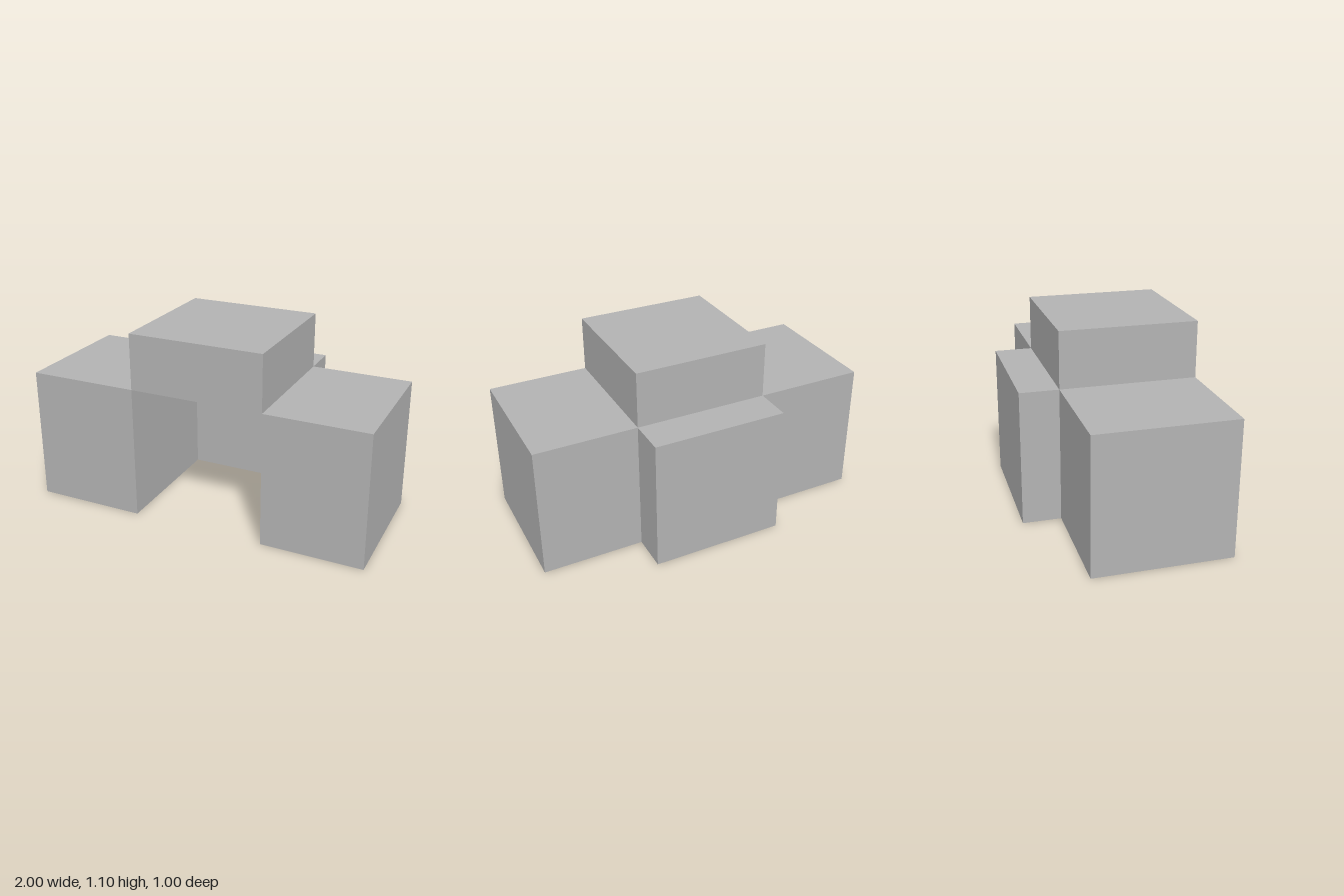
import * as THREE from 'three';

export function createModel() {
  const model = new THREE.Group();
  model.name = 'blockAssembly';

  const grey = new THREE.MeshStandardMaterial({ color: 0xb3b3b3 });
  grey.name = 'plain grey';

  // Edges of the open central bay, which the four blocks surround
  const bay = { x0: -0.36, x1: 0.415, y1: 0.775, z0: -0.278, z1: 0.497 };

  // Solid block between its lower and upper limits on each axis
  function addBlock(name, [x0, x1], [y0, y1], [z0, z1]) {
    const geometry = new THREE.BoxGeometry(x1 - x0, y1 - y0, z1 - z0);
    const block = new THREE.Mesh(geometry, grey);
    block.name = name;
    block.position.set((x0 + x1) / 2, (y0 + y1) / 2, (z0 + z1) / 2);
    model.add(block);
  }

  // Side blocks; the one on the right (-x) is slightly wider
  addBlock('rightBlock', [-1, bay.x0], [0, bay.y1], [bay.z0, bay.z1]);
  addBlock('leftBlock', [bay.x1, 1], [0, bay.y1], [bay.z0, bay.z1]);

  // Roof block over the bay
  addBlock('topBlock', [bay.x0, bay.x1], [bay.y1, 1.098], [bay.z0, bay.z1]);

  // Thin block closing the rear of the bay
  addBlock('backBlock', [bay.x0, bay.x1], [0, bay.y1], [-0.498, bay.z0]);

  return model;
}
